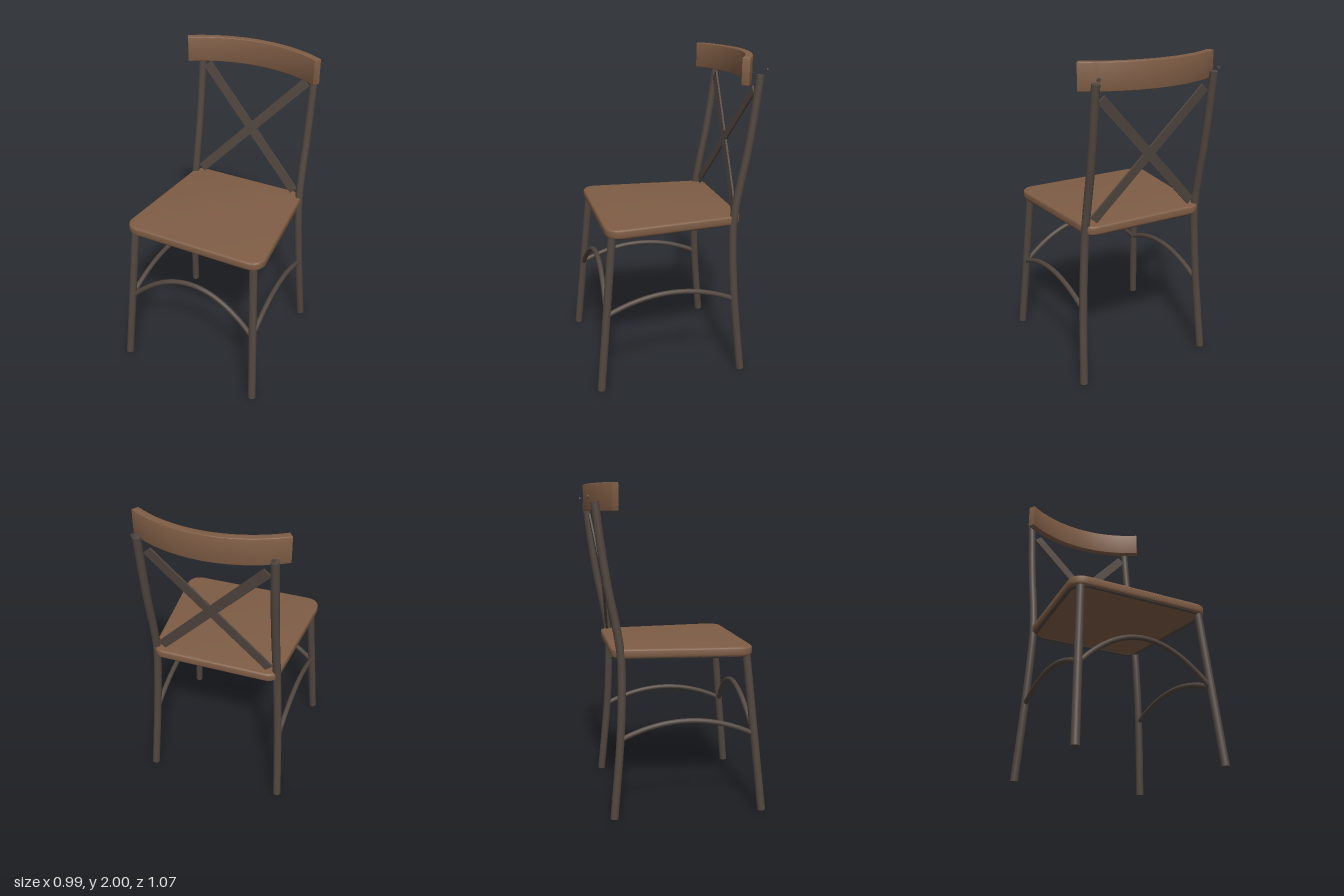
import * as THREE from 'three';
import { mergeGeometries, toCreasedNormals } from 'three/addons/utils/BufferGeometryUtils.js';

const V = (x, y, z) => new THREE.Vector3(x, y, z);

// Round bar along a curve, closed with flat discs at both ends
function bar(curve, radius, segments) {
  const parts = [new THREE.TubeGeometry(curve, segments, radius, 16, false)];
  for (const t of [0, 1]) {
    const out = curve.getTangent(t).multiplyScalar(t ? 1 : -1);
    const p = curve.getPoint(t);
    const cap = new THREE.CircleGeometry(radius, 16);
    cap.applyQuaternion(new THREE.Quaternion().setFromUnitVectors(V(0, 0, 1), out));
    parts.push(cap.translate(p.x, p.y, p.z));
  }
  return mergeGeometries(parts);
}

// Tapered seat outline with rounded corners, drawn as (x, -z)
function seatOutline(inset) {
  const corners = [
    [-0.475 + inset, -0.448 + inset, 0.1], [0.475 - inset, -0.448 + inset, 0.1],
    [0.4 - inset, 0.41 - inset, 0.07], [-0.4 + inset, 0.41 - inset, 0.07],
  ].map(([x, y, r]) => ({ p: new THREE.Vector2(x, y), r }));
  const shape = new THREE.Shape();
  corners.forEach(({ p, r }, i) => {
    const toward = (q) => q.clone().sub(p).setLength(r).add(p);
    const a = toward(corners[(i + 3) % 4].p);
    const b = toward(corners[(i + 1) % 4].p);
    if (i === 0) shape.moveTo(a.x, a.y);
    else shape.lineTo(a.x, a.y);
    const k = 0.6; // near-circular corner
    const ca = a.clone().lerp(p, k), cb = b.clone().lerp(p, k);
    shape.bezierCurveTo(ca.x, ca.y, cb.x, cb.y, b.x, b.y);
  });
  shape.closePath();
  return shape;
}

// Horizontal slab between two heights with a small rounded edge
function slab(shape, y0, y1, bevel, curveSegments) {
  const geo = new THREE.ExtrudeGeometry(shape, {
    depth: y1 - y0 - 2 * bevel, curveSegments,
    bevelThickness: bevel, bevelSize: bevel, bevelOffset: -bevel, bevelSegments: 3,
  });
  geo.rotateX(-Math.PI / 2).translate(0, y0 + bevel, 0);
  return toCreasedNormals(geo, 0.6);
}

export function createModel() {
  const group = new THREE.Group();
  const wood = new THREE.MeshStandardMaterial({ color: 0x7f5d45 });
  wood.name = 'brown wood';
  const metal = new THREE.MeshStandardMaterial({ color: 0x51463f });
  metal.name = 'dark metal';

  const add = (name, geometry, material) => {
    const mesh = new THREE.Mesh(geometry, material);
    mesh.name = name;
    group.add(mesh);
    return mesh;
  };

  // Seat board and the metal hoop under its edge
  add('seat', slab(seatOutline(0), 0.985, 1.04, 0.012, 10), wood);
  const hoop = seatOutline(0.022).getSpacedPoints(96).slice(0, -1).map((p) => V(p.x, 0.988, -p.y));
  add('seatFrame', new THREE.TubeGeometry(new THREE.CatmullRomCurve3(hoop, true), 128, 0.013, 10, true), metal);

  // Curved top rail
  const rail = new THREE.Shape();
  const half = 0.573;
  rail.absarc(0, -0.3, 0.832, Math.PI / 2 - half, Math.PI / 2 + half, false);
  rail.absarc(0, -0.3, 0.787, Math.PI / 2 + half, Math.PI / 2 - half, true);
  rail.closePath();
  add('topRail', slab(rail, 1.84, 2, 0.004, 32), wood);

  for (const s of [1, -1]) {
    const side = s > 0 ? 'left' : 'right';

    // Splayed front leg
    const front = new THREE.LineCurve3(V(s * 0.47, 0.003, 0.507), V(s * 0.41, 0.99, 0.408));
    add(side + 'FrontLeg', bar(front, 0.025, 1), metal);

    // Rear leg sweeping up into the back post
    const rear = new THREE.CatmullRomCurve3([
      [0.446, 0.003, -0.412], [0.419, 0.5, -0.366], [0.402, 0.8, -0.353], [0.392, 1, -0.355],
      [0.388, 1.2, -0.385], [0.388, 1.4, -0.425], [0.388, 1.6, -0.456], [0.388, 1.893, -0.493],
    ].map(([x, y, z]) => V(s * x, y, z)));
    add(side + 'RearLeg', bar(rear, 0.025, 40), metal);

    // Arched side stretcher
    const arch = new THREE.QuadraticBezierCurve3(
      V(s * 0.44, 0.49, 0.455), V(s * 0.43, 0.692, 0.045), V(s * 0.419, 0.49, -0.365));
    add(side + 'Stretcher', bar(arch, 0.016, 24), metal);

    // Screw head behind the top rail
    const screw = new THREE.CylinderGeometry(0.011, 0.011, 0.008, 12);
    screw.rotateX(Math.PI / 2).translate(s * 0.39, 1.92, -0.531);
    add(side + 'Screw', screw, metal);

    // Flat diagonal brace of the crossed back
    const low = V(-s * 0.345, 1.066, -0.37), high = V(s * 0.345, 1.802, -0.47);
    const along = high.clone().sub(low);
    const normal = V(0, 0.1, 0.736).normalize();
    const across = normal.clone().cross(along).normalize();
    const brace = new THREE.BoxGeometry(along.length(), 0.06, 0.012);
    brace.applyMatrix4(new THREE.Matrix4().makeBasis(along.clone().normalize(), across, normal));
    const mid = low.clone().lerp(high, 0.5);
    add(side + 'BackBrace', brace.translate(mid.x, mid.y, mid.z), metal);
  }

  // Arched front stretcher
  const frontArch = new THREE.QuadraticBezierCurve3(V(-0.44, 0.48, 0.459), V(0, 0.965, 0.415), V(0.44, 0.48, 0.459));
  add('frontStretcher', bar(frontArch, 0.016, 32), metal);

  return group;
}
